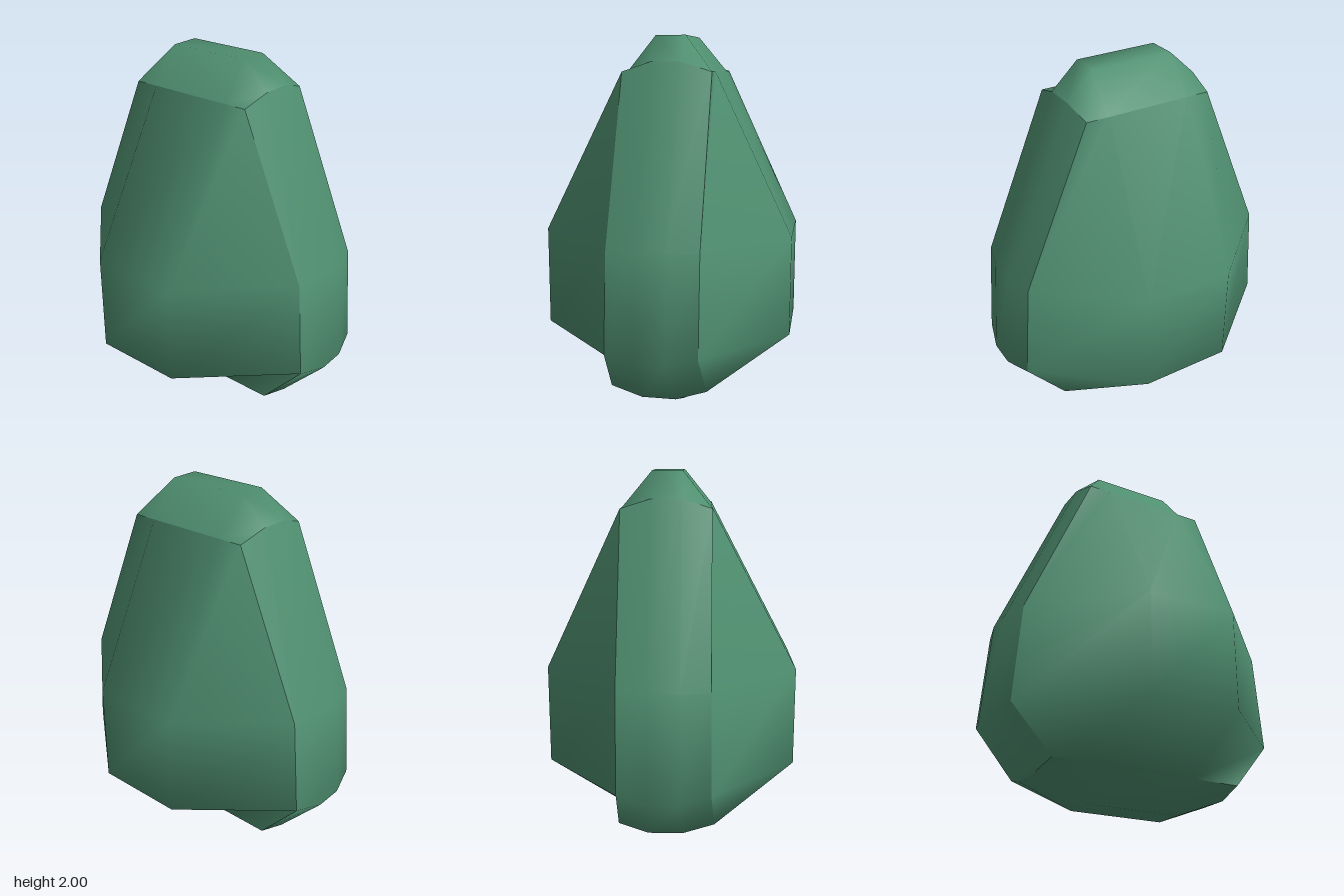
import * as THREE from 'three';

// Grid points of a 3 x 3 x 3 block, keyed by which of x, y, z lie on the outside.
// Each entry: [half width, height, front z, back z] for the upper and lower half.
const points = {
  xyz: { upper: [0.36, 1.81, 0.215, -0.26], lower: [0.55, 0.16, 0.24, -0.27] }, // corners
  yz: { upper: [0.23, 1.81, 0.215, -0.26], lower: [0.27, 0.16, 0.24, -0.27] }, // front and back rims
  xy: { upper: [0.38, 1.86, 0.06, -0.1], lower: [0.57, 0.115, 0.07, -0.11] }, // side rims
  xz: { upper: [0.73, 0.94, 0.215, -0.26], lower: [0.77, 0.41, 0.22, -0.26] }, // upright edges
  y: { upper: [0.23, 2, 0.06, -0.1], lower: [0.27, 0, 0.07, -0.11] }, // top and bottom
  z: { upper: [0.25, 0.94, 0.68, -0.68], lower: [0.25, 0.4, 0.68, -0.68] }, // front and back
  x: { upper: [0.77, 0.94, 0.06, -0.1], lower: [0.815, 0.38, 0.06, -0.1] }, // sides
};

export function createModel() {
  const green = new THREE.MeshStandardMaterial({ color: 0x4f8f70 });
  green.name = 'stoneGreen';

  // Faceted boulder: six faces, each smooth in itself and creased where they meet
  const geometry = new THREE.BoxGeometry(2, 2, 2, 3, 3, 3);
  const pos = geometry.attributes.position;
  for (let i = 0; i < pos.count; i++) {
    const v = { x: pos.getX(i), y: pos.getY(i), z: pos.getZ(i) };
    const key = ['x', 'y', 'z'].filter((a) => Math.abs(v[a]) > 0.9).join('');
    const [w, h, front, back] = points[key][v.y > 0 ? 'upper' : 'lower'];
    pos.setXYZ(i, Math.sign(v.x) * w, h, v.z > 0 ? front : back);
  }
  geometry.computeVertexNormals();

  const boulder = new THREE.Mesh(geometry, green);
  boulder.name = 'boulder';
  const model = new THREE.Group();
  model.name = 'stone';
  model.add(boulder);
  return model;
}
